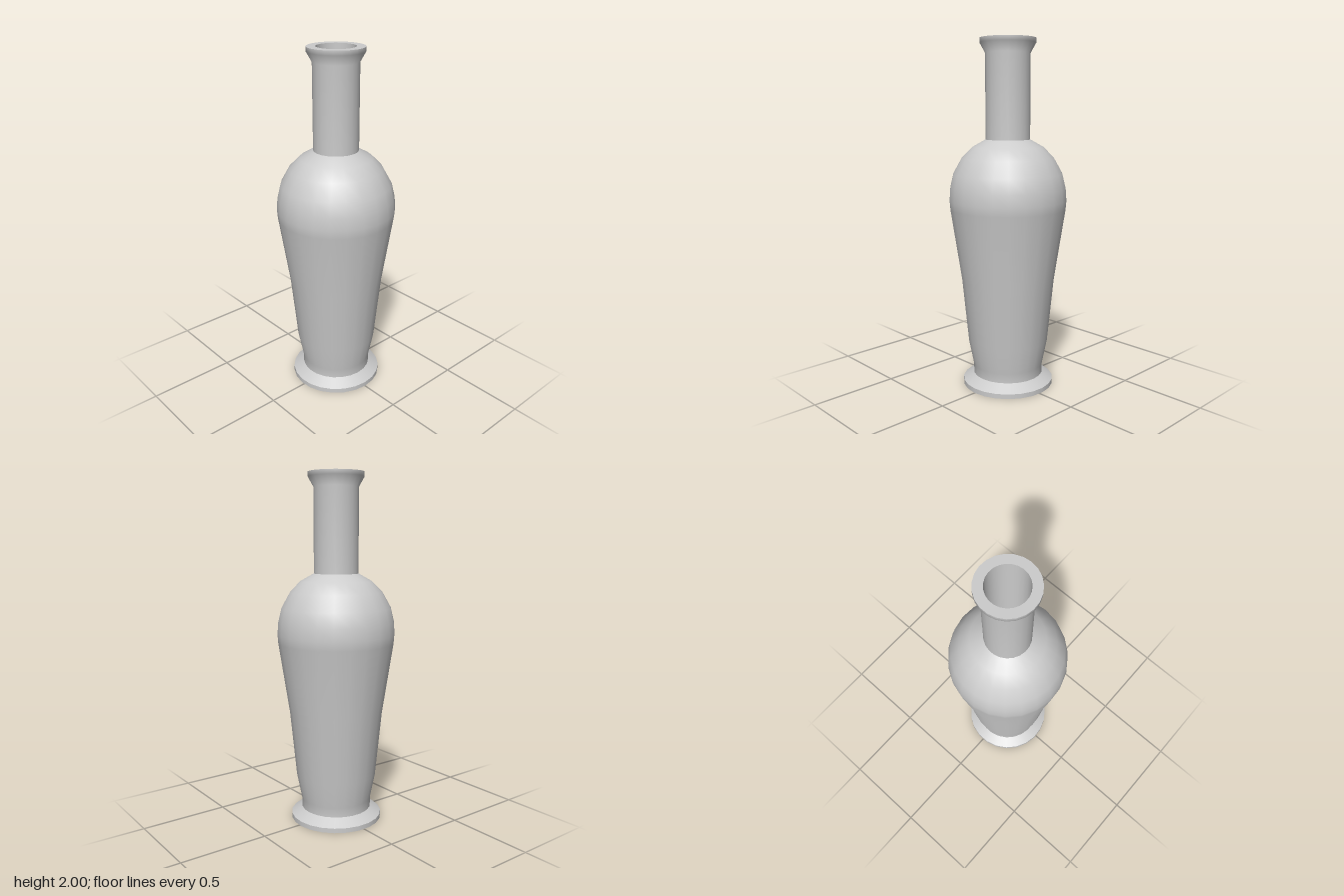
import * as THREE from 'three';

const SIDES = 23;
const material = new THREE.MeshStandardMaterial({ color: 0xcccccc });

// Smooth turned surface; profile points are [radius, height], outer side bottom to top
function turned(name, profile) {
  const points = profile.map(([r, y]) => new THREE.Vector2(r, y));
  const mesh = new THREE.Mesh(new THREE.LatheGeometry(points, SIDES, Math.PI / 2), material);
  mesh.name = name;
  return mesh;
}

export function createModel() {
  const bottle = new THREE.Group();
  bottle.name = 'bottle';

  // Each surface ends where the profile has a sharp edge
  bottle.add(
    // Foot
    turned('footUnderside', [[0, 0], [0.265, 0]]),
    turned('footRim', [[0.265, 0], [0.265, 0.027]]),
    turned('footSlope', [[0.265, 0.027], [0.2, 0.066]]),
    // Tapered body with rounded shoulder
    turned('body', [
      [0.203, 0.066], [0.204, 0.12], [0.234, 0.27], [0.271, 0.645], [0.333, 1.05],
      [0.337, 1.1], [0.332, 1.17], [0.313, 1.25], [0.263, 1.34], [0.203, 1.4], [0.127, 1.443],
    ]),
    // Neck flaring into the lip
    turned('neck', [[0.127, 1.443], [0.127, 1.92], [0.158, 1.975], [0.158, 2]]),
    turned('lipTop', [[0.158, 2], [0.108, 2]]),
    // Opening inside the neck
    turned('neckInside', [[0.108, 2], [0.108, 1.443]]),
    turned('neckFloor', [[0.108, 1.443], [0, 1.443]]),
  );

  bottle.position.x = -0.002; // centres the odd-sided outline
  return bottle;
}
